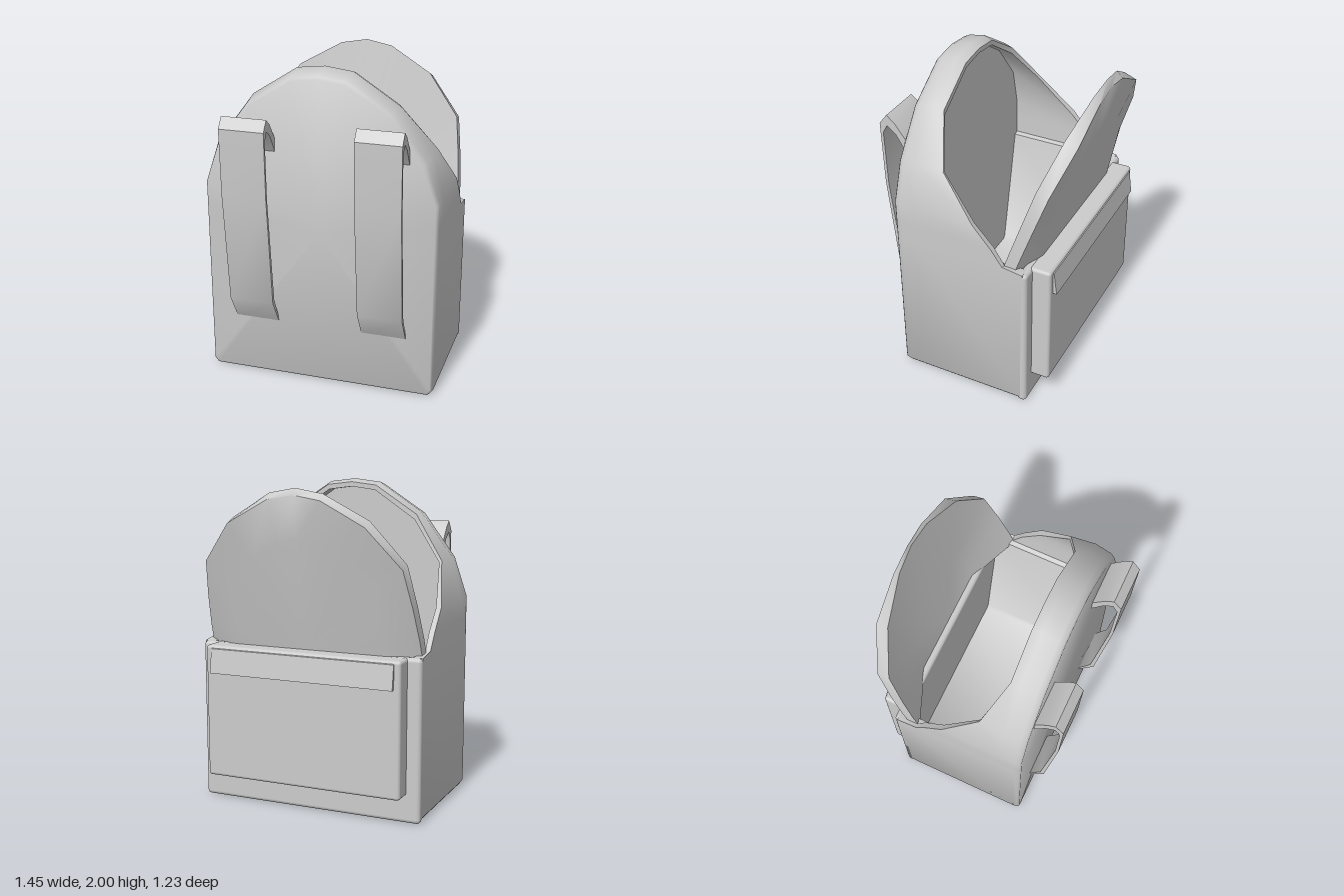
import * as THREE from 'three';
import { toCreasedNormals } from 'three/addons/utils/BufferGeometryUtils.js';
import { RoundedBoxGeometry } from 'three/addons/geometries/RoundedBoxGeometry.js';

const grey = new THREE.MeshStandardMaterial({ color: 0xcccccc, side: THREE.DoubleSide });

function addMesh(parent, name, geometry, x = 0, y = 0, z = 0) {
  const mesh = new THREE.Mesh(geometry, grey);
  mesh.name = name;
  mesh.position.set(x, y, z);
  parent.add(mesh);
}

// Skin a surface over cross-section rings of [x, y, z] points
function skin(rings, closed) {
  const n = rings[0].length, index = [];
  for (let r = 0; r < rings.length - 1; r++) {
    for (let i = 0; i < (closed ? n : n - 1); i++) {
      const j = (i + 1) % n, a = r * n + i, b = r * n + j;
      index.push(a, a + n, b, b, a + n, b + n);
    }
  }
  const geometry = new THREE.BufferGeometry();
  geometry.setAttribute('position', new THREE.Float32BufferAttribute(rings.flat(2), 3));
  geometry.setIndex(index);
  return toCreasedNormals(geometry, 0.9);
}

// Right-hand half of an arch, ending on the centre line, to the full arch
const mirror = half => [...half, ...half.slice(0, -1).reverse().map(([x, ...rest]) => [-x, ...rest])];

// Body: x, y of the outer arch, x, y of the inner arch, z of the slanted opening
function bodyGeometry() {
  const arch = mirror([
    [0.70, 0, 0.47, 0.22, -0.40],
    [0.725, 0.03, 0.49, 0.24, -0.40],
    [0.725, 1.0, 0.66, 1.0, -0.40],
    [0.725, 1.02, 0.69, 1.01, -0.27],
    [0.725, 1.12, 0.69, 1.12, -0.20],
    [0.725, 1.26, 0.69, 1.25, -0.08],
    [0.66, 1.52, 0.63, 1.50, 0.14],
    [0.45, 1.80, 0.43, 1.75, 0.24],
    [0.17, 1.98, 0.16, 1.93, 0.24],
    [0, 2.0, 0, 1.95, 0.24],
  ]);
  // the crown is rounded more than the base
  const outer = (base, crown, z) => arch.map(p => {
    const s = p[1] > 1.3 ? crown : base;
    return [p[0] * s, 1 + (p[1] - 1) * s, z ?? p[4]];
  });
  const inner = (s, z) => arch.map(p => [Math.sign(p[0]) * p[2] * s, 1 + (p[3] - 1) * s, z ?? p[4]]);
  return skin([
    outer(0, 0, 0.44), outer(0.98, 0.95, 0.44), outer(0.995, 0.965, 0.43), outer(1, 0.98, 0.40),
    outer(1, 1, 0.30), outer(1, 0.98),
    inner(1), inner(1, 0.33), inner(0, 0.33),
  ], true);
}

// Flap: a shallow shell leaning back, thick at the hinge and thin at the tip
function flapGeometry() {
  const arch = mirror([
    [0.70, 0.98], [0.695, 1.10], [0.675, 1.30], [0.64, 1.54],
    [0.44, 1.79], [0.17, 1.94], [0, 1.97],
  ]);
  const ring = (s, z, drop = 0) => arch.map(([x, y]) => {
    const h = 0.98 + (y - 0.98) * s;
    return [x * s, h - drop * (h - 0.98), z(h)];
  });
  const edge = y => -0.27 - 0.323 * (y - 1.01);
  const hollow = y => -0.405 - 0.19 * (y - 1);
  const back = y => -0.425 - 0.22 * (y - 1);
  const backEdge = y => Math.max(-0.61, -0.375 - 0.325 * (y - 1.1));
  return skin([
    ring(0, hollow), ring(0.5, hollow), ring(1, edge),
    ring(1, backEdge, 0.04), ring(0.7, back), ring(0, back),
  ], false);
}

// Side outline given as [z, y] points, extruded across x
function crossExtrude(points, width) {
  const shape = new THREE.Shape(points.map(([z, y]) => new THREE.Vector2(-z, y)));
  const geometry = new THREE.ExtrudeGeometry(shape, { depth: width, bevelEnabled: false });
  geometry.translate(0, 0, -width / 2);
  geometry.rotateY(Math.PI / 2);
  return toCreasedNormals(geometry, 0.6);
}

export function createModel() {
  const model = new THREE.Group();
  model.name = 'backpack';

  addMesh(model, 'body', bodyGeometry());
  addMesh(model, 'rearWall', new RoundedBoxGeometry(1.45, 1.0, 0.06, 3, 0.025), 0, 0.5, -0.395);
  addMesh(model, 'openFlap', flapGeometry());

  // Outer pocket with its slanted cover
  addMesh(model, 'pocket', new RoundedBoxGeometry(1.28, 0.83, 0.14, 3, 0.02), 0, 0.585, -0.47);
  addMesh(model, 'pocketCover', crossExtrude(
    [[-0.52, 0.995], [-0.545, 0.98], [-0.565, 0.83], [-0.535, 0.835]], 1.2));

  // Pair of shoulder straps
  const strap = crossExtrude([
    [0.43, 1.57], [0.515, 1.685], [0.565, 1.725], [0.615, 1.66], [0.605, 1.25], [0.535, 0.54], [0.43, 0.36],
    [0.43, 0.385], [0.51, 0.555], [0.585, 1.24], [0.595, 1.60], [0.565, 1.655], [0.51, 1.61], [0.43, 1.48],
  ], 0.28);
  addMesh(model, 'leftStrap', strap, 0.41);
  addMesh(model, 'rightStrap', strap, -0.41);

  return model;
}
